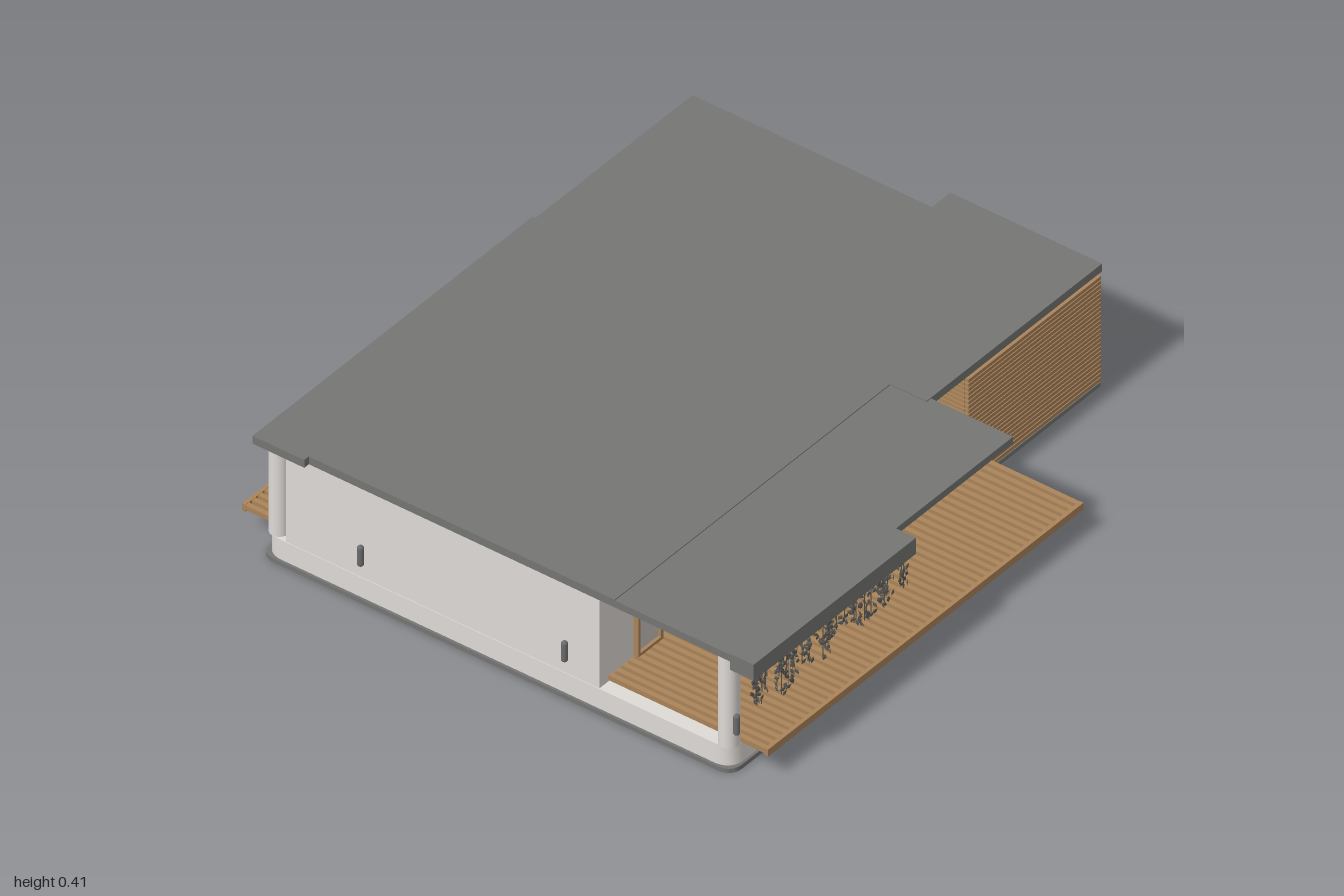
import * as THREE from 'three';
import { mergeGeometries, toCreasedNormals } from 'three/addons/utils/BufferGeometryUtils.js';

const mat = (name, color) => Object.assign(new THREE.MeshStandardMaterial({ color }), { name });

export function createModel() {
  const house = new THREE.Group();
  house.name = 'house';
  const roofGrey = mat('roof grey', 0x757573);
  const plaster = mat('white plaster', 0xdedad6);
  const wood = mat('timber', 0xaa845a);
  const glass = mat('pale glass', 0xc6c1bd);
  const metal = mat('lamp grey', 0x6c6c6c);
  const leaf = mat('vine grey', 0x555552);

  const add = (name, geo, material, parent = house) => {
    const m = new THREE.Mesh(geo, material);
    m.name = name;
    parent.add(m);
    return m;
  };
  // box given by its limits
  const box = (x0, x1, y0, y1, z0, z1) =>
    new THREE.BoxGeometry(x1 - x0, y1 - y0, z1 - z0)
      .translate((x0 + x1) / 2, (y0 + y1) / 2, (z0 + z1) / 2);

  // plan outline of [x, z, cornerRadius] points, extruded from y0 to y1
  const trace = (path, pts) => {
    pts.forEach(([x, z, r = 0], i) => {
      const c = new THREE.Vector2(x, -z);
      const end = (p) => {
        const d = new THREE.Vector2(p[0], -p[1]).sub(c);
        return d.setLength(Math.min(r, d.length() / 2)).add(c);
      };
      const a = r ? end(pts[(i + pts.length - 1) % pts.length]) : c;
      if (i) path.lineTo(a.x, a.y); else path.moveTo(a.x, a.y);
      if (r) {
        const b = end(pts[(i + 1) % pts.length]);
        path.quadraticCurveTo(c.x, c.y, b.x, b.y);
      }
    });
    path.closePath();
    return path;
  };
  const slab = (pts, y0, y1, holes = []) => {
    const s = trace(new THREE.Shape(), pts);
    holes.forEach((h) => s.holes.push(trace(new THREE.Path(), h)));
    const g = new THREE.ExtrudeGeometry(s, { depth: y1 - y0, bevelEnabled: false, curveSegments: 8 });
    return toCreasedNormals(g.rotateX(-Math.PI / 2).translate(0, y0, 0), 0.6);
  };

  // base and plinth, open under both decks
  const outline = (o, r) => [
    [-0.98 + o, -0.79 + o, r], [0.91 - o, -0.79 + o, r], [0.91 - o, 0.02 + o], [0.99 - o, 0.02 + o],
    [0.99 - o, 0.53 - o], [0.45 - o, 0.53 - o], [0.45 - o, 0.805 - o, r], [-0.98 + o, 0.805 - o, r]];
  const deckHoles = [
    [[-0.9, 0.36], [0.22, 0.36], [0.22, 0.5], [0.41, 0.5], [0.41, 0.75], [-0.9, 0.75]],
    [[-0.9, -0.75], [0.21, -0.75], [0.21, -0.67], [-0.9, -0.67]]];
  add('base', slab(outline(0, 0.05), 0, 0.014, deckHoles), roofGrey);
  add('plinth', slab(outline(0.008, 0.06), 0.014, 0.08, deckHoles), plaster);

  // plaster walls with rounded outer corners
  add('walls', slab([
    [-0.97, -0.71], [-0.94, -0.71], [-0.94, -0.66], [0.19, -0.66], [0.19, -0.78, 0.05], [0.902, -0.78, 0.06],
    [0.902, 0.03], [0.975, 0.03], [0.975, 0.518], [0.42, 0.518], [0.42, 0.32], [0.225, 0.32],
    [0.225, 0.47, 0.03], [0.07, 0.47, 0.03], [0.07, 0.35], [-0.97, 0.35]], 0.08, 0.387), plaster);

  // porch columns
  for (const [x, z] of [[-0.945, 0.77], [-0.94, -0.755]])
    add('column', new THREE.CylinderGeometry(0.03, 0.03, 0.31, 24).translate(x, 0.235, z), plaster);

  // roof slab, porch cover and front planter beam
  add('roof', slab([
    [-1, -0.8], [0.225, -0.8], [0.225, -0.79], [0.912, -0.79], [0.912, 0.02], [0.993, 0.02],
    [0.993, 0.533], [0.225, 0.533], [0.225, 0.41], [-0.98, 0.41], [-0.98, -0.625], [-1, -0.625]],
  0.386, 0.412), roofGrey);
  add('porchCover', box(-0.98, 0.245, 0.386, 0.409, 0.41, 0.81), roofGrey);
  add('planterBeam', box(-0.98, -0.27, 0.358, 0.412, 0.8, 0.88), roofGrey);

  // decks: bars across, edge rim and bearers
  const deck = (name, x0, x1, zIn, zOut, bearers) => {
    const parts = [];
    const n = Math.round((x1 - x0) / 0.0285), step = (x1 - x0 - 0.016) / n;
    for (let i = 0; i <= n; i++) {
      const x = x0 + i * step;
      const inner = zIn(x);
      parts.push(box(x, x + 0.016, 0.084, 0.1, Math.min(inner, zOut), Math.max(inner, zOut)));
    }
    parts.push(box(x0, x1, 0.078, 0.101, zOut - 0.006, zOut + 0.006));
    bearers.forEach(([a, b, z]) => parts.push(box(a, b, 0.075, 0.086, z - 0.008, z + 0.008)));
    add(name, mergeGeometries(parts), wood);
  };
  deck('frontDeck', -0.93, 0.45, (x) => (x > 0.41 ? 0.53 : x > 0.22 ? 0.32 : 0.35), 0.884,
    [[-0.92, 0.44, 0.74], [-0.92, 0.22, 0.45]]);
  deck('backDeck', -0.93, 0.225, (x) => (x > 0.18 ? -0.78 : -0.66), -0.884, [[-0.92, 0.2, -0.71]]);

  // horizontal cladding, given as plan strips [x0, x1, z0, z1], leaving openings [y0, y1]
  const cladding = (name, y0, y1, strips) => {
    const parts = [], pitch = 0.0148;
    for (let y = y0; y + 0.0115 < y1; y += pitch)
      for (const [a, b, c, d, gap] of strips)
        if (!gap || y + 0.0115 < gap[0] || y > gap[1]) parts.push(box(a, b, y, y + 0.0115, c, d));
    add(name, mergeGeometries(parts), wood);
  };
  cladding('wingCladding', 0.02, 0.386, [
    [0.41, 0.99, 0.518, 0.532],
    [0.975, 0.99, 0.022, 0.08], [0.975, 0.99, 0.08, 0.23, [0.1, 0.38]], [0.975, 0.99, 0.23, 0.52],
    [0.9, 0.976, 0.02, 0.032], [0.408, 0.421, 0.32, 0.52]]);
  cladding('backCladding', 0.1, 0.386, [
    [0.07, 0.19, -0.672, -0.659, [0.1, 0.34]], [-0.37, 0.07, -0.672, -0.659],
    [-0.78, -0.37, -0.672, -0.659, [0.1, 0.34]], [-0.94, -0.78, -0.672, -0.659],
    [-0.943, -0.93, -0.71, -0.66]]);

  // framed windows and doors: centre, size, turn about y, number of panes
  const windowUnit = (name, x, y, z, w, h, turn = 0, panes = 1, frame = wood) => {
    const g = new THREE.Group();
    g.name = name;
    g.position.set(x, y, z);
    g.rotation.y = turn;
    const t = 0.01, parts = [];
    for (const s of [-1, 1]) {
      parts.push(box(-w / 2, w / 2, -t / 2, t / 2, 0, 0.016).translate(0, s * (h - t) / 2, 0));
      parts.push(box(-t / 2, t / 2, -h / 2, h / 2, 0, 0.016).translate(s * (w - t) / 2, 0, 0));
    }
    for (let i = 1; i < panes; i++)
      parts.push(box(-t / 2, t / 2, -h / 2, h / 2, 0, 0.014).translate(-w / 2 + (i * w) / panes, 0, 0));
    add('frame', mergeGeometries(parts), frame, g);
    add('pane', box(-w / 2 + t, w / 2 - t, -h / 2 + t, h / 2 - t, 0, 0.006), glass, g);
    house.add(g);
  };
  const back = Math.PI, side = Math.PI / 2;
  for (const [a, b] of [[-0.82, -0.71], [-0.67, -0.47], [-0.18, -0.06]])
    windowUnit('porchWindow', (a + b) / 2, 0.182, 0.35, b - a, 0.165);
  windowUnit('entryDoor', 0.355, 0.182, 0.32, 0.11, 0.165);
  windowUnit('wingWindow', 0.976, 0.24, 0.155, 0.15, 0.28, side);
  windowUnit('sideWindow', 0.9, 0.133, -0.157, 0.21, 0.066, side);
  windowUnit('backDoor', 0.4, 0.235, -0.778, 0.12, 0.28, back);
  windowUnit('backWindow', 0.13, 0.22, -0.658, 0.12, 0.24, back);
  windowUnit('backSlidingWindow', -0.575, 0.22, -0.658, 0.41, 0.24, back, 2);

  // wall lamps: upright capsules
  for (const [x, z] of [[-0.955, 0.803], [0, 0.358], [0.909, -0.705], [-0.98, -0.45], [-0.98, 0.24], [0.27, -0.79]])
    add('wallLamp', new THREE.CapsuleGeometry(0.01, 0.05, 4, 10).translate(x, 0.16, z), metal);

  // vines hanging from the planter beam
  let seed = 7;
  const rnd = () => (seed = (seed * 16807) % 2147483647) / 2147483647;
  const leaves = [];
  for (let i = 0; i < 27; i++) {
    const x = -0.94 + i * 0.0255 + (rnd() - 0.5) * 0.012, z = 0.82 + rnd() * 0.045;
    const length = 0.08 + rnd() * 0.07;
    leaves.push(new THREE.CylinderGeometry(0.0015, 0.0015, length, 4).translate(x, 0.36 - length / 2, z).toNonIndexed());
    for (let d = 0.01; d < length; d += 0.009) {
      const l = new THREE.OctahedronGeometry(0.011).scale(0.6, 1, 0.15);
      l.rotateZ((rnd() - 0.5) * 2.4).rotateY(rnd() * Math.PI);
      leaves.push(l.translate(x + (rnd() - 0.5) * 0.028, 0.355 - d, z + (rnd() - 0.5) * 0.028));
    }
  }
  add('hangingVines', mergeGeometries(leaves), leaf);

  return house;
}
